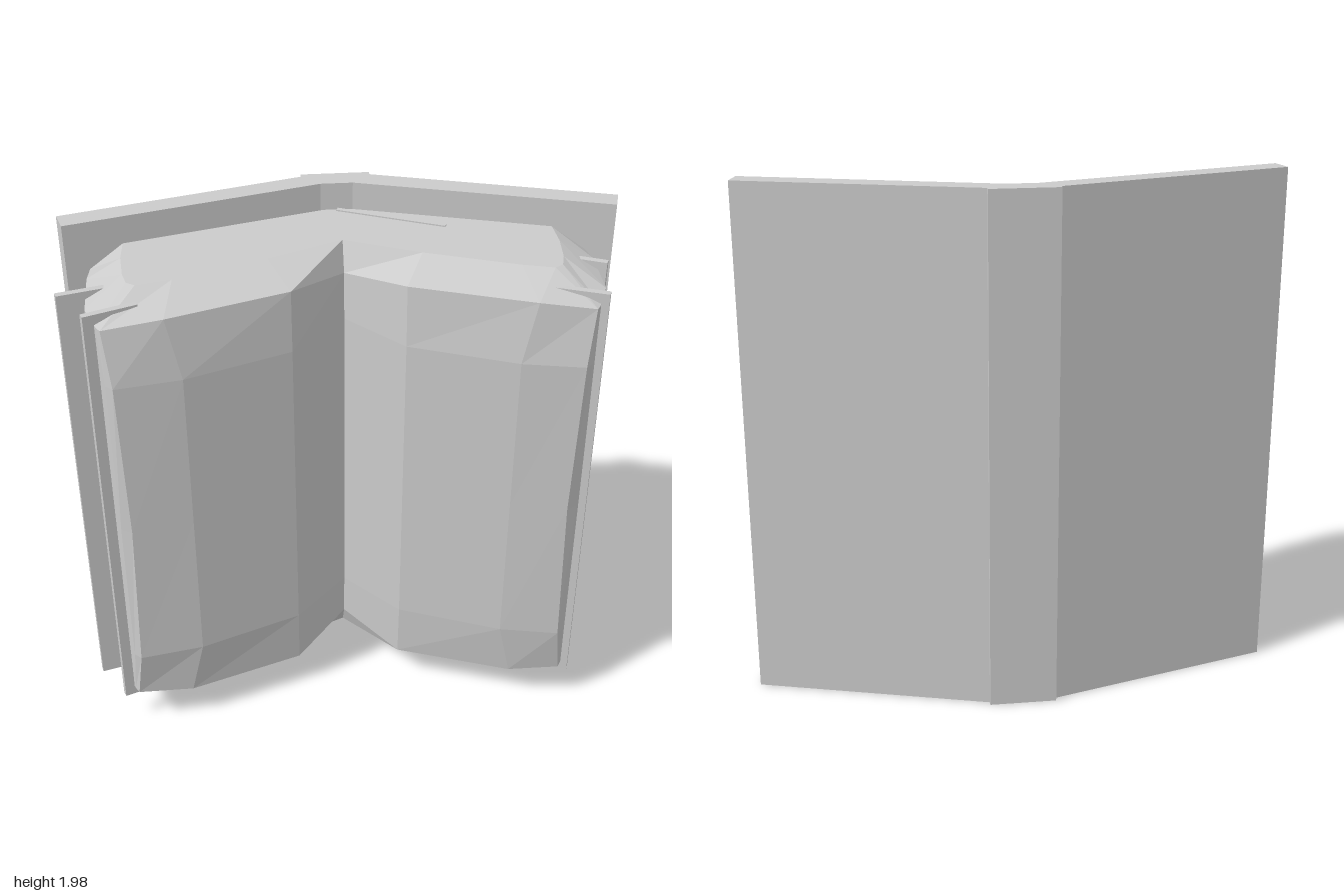
import * as THREE from 'three';

const material = new THREE.MeshStandardMaterial({ color: 0xcccccc, flatShading: true });

function addMesh(parent, name, geometry) {
  const mesh = new THREE.Mesh(geometry, material);
  mesh.name = name;
  parent.add(mesh);
  return mesh;
}

// Upright slab whose plan centre line runs from (ax, az) to (bx, bz)
function addSlab(parent, name, [ax, az, bx, bz], thickness, y0, y1) {
  const length = Math.hypot(bx - ax, bz - az);
  const mesh = addMesh(parent, name, new THREE.BoxGeometry(length, y1 - y0, thickness));
  mesh.position.set((ax + bx) / 2, (y0 + y1) / 2, (az + bz) / 2);
  mesh.rotation.y = -Math.atan2(bz - az, bx - ax);
}

// Half outlines of the pages in plan [x, z, drop], from the gutter round to the back
const middle = [[0, 0, 0], [0.2, 0.215, 0], [0.58, 0.365, 0], [0.785, 0.408, 0], [0.825, 0.385, 0],
  [0.885, 0.24, 0], [0.89, 0, 0], [0.885, -0.08, 0], [0.05, -0.32, 0]];
const shoulder = middle.map(([x, z, d], i) => [i === 3 ? 0.8 : x, z, d]);
const rim = [[0, -0.01, 0.05], [0.2, 0.2, 0], [0.63, 0.352, 0], [0.825, 0.375, 0.02], [0.84, 0.35, 0.02],
  [0.88, 0.25, 0.01], [0.885, 0.03, 0.01], [0.88, -0.08, 0.03], [0.05, -0.32, 0]];
const cap = [[0, -0.07, 0], [0.27, 0.05, 0], [0.6, 0.17, 0], [0.71, 0.2, 0], [0.74, 0.18, 0],
  [0.755, 0.12, 0], [0.765, 0, 0], [0.76, -0.11, 0], [0.05, -0.315, 0]];

function pagesGeometry() {
  const mid = 0.99;
  const levels = [[0.89, cap], [0.84, rim], [0.61, shoulder], [0, middle]];
  const rings = [
    ...levels.map(([h, outline]) => [-h, outline]),
    ...levels.slice(0, 3).reverse()
  ];
  const positions = [];
  for (const [h, outline] of rings) {
    const put = ([x, z, drop], side) => {
      const outer = side < 0 && x > 0.7 ? 0.015 : 0;
      positions.push(side * (x + outer), mid + h - Math.sign(h) * drop, z);
    };
    outline.forEach(p => put(p, 1));
    for (let i = 8; i > 0; i--) put(outline[i], -1);
  }

  const n = 17, index = [];
  for (let r = 0; r < rings.length - 1; r++) {
    for (let i = 0; i < n; i++) {
      const a = r * n + i, b = r * n + (i + 1) % n;
      index.push(a, b, b + n, a, b + n, a + n);
    }
  }
  // Close both ends with a fan for each half of the spread
  const top = (rings.length - 1) * n;
  const close = (a, b, c) => index.push(top + a, top + b, top + c, a, c, b);
  for (let i = 0; i < 7; i++) close(8, i, i + 1);
  for (let i = 10; i < n; i++) close(9, i, (i + 1) % n);
  close(8, 9, 0);

  const geometry = new THREE.BufferGeometry();
  geometry.setAttribute('position', new THREE.Float32BufferAttribute(positions, 3));
  geometry.setIndex(index);
  const flat = geometry.toNonIndexed();
  flat.computeVertexNormals();
  return flat;
}

export function createModel() {
  const book = new THREE.Group();
  book.name = 'openBook';

  // Cover boards and spine
  const cover = new THREE.Group();
  cover.name = 'cover';
  book.add(cover);
  for (const side of [1, -1]) {
    addSlab(cover, side > 0 ? 'leftBoard' : 'rightBoard',
      [side * 0.06, -0.367, side * 0.988, -0.1], 0.083, 0, 1.98);
  }
  addSlab(cover, 'spine', [-0.127, -0.367, 0.127, -0.367], 0.086, 0, 1.98);

  // Page block
  addMesh(book, 'pages', pagesGeometry());

  // Single sheets standing out from the block
  const sheets = new THREE.Group();
  sheets.name = 'looseSheets';
  book.add(sheets);
  for (const line of [
    [-0.995, 0.19, -0.8, 0.135],
    [-0.9, 0.34, -0.72, 0.268],
    [0.78, 0.06, 0.915, 0.118],
    [0.68, 0.268, 0.873, 0.34]
  ]) addSlab(sheets, 'sheet', line, 0.024, 0.13, 1.85);
  addSlab(sheets, 'innerSheet', [0, -0.31, 0.38, -0.145], 0.018, 0.095, 1.885);

  return book;
}
